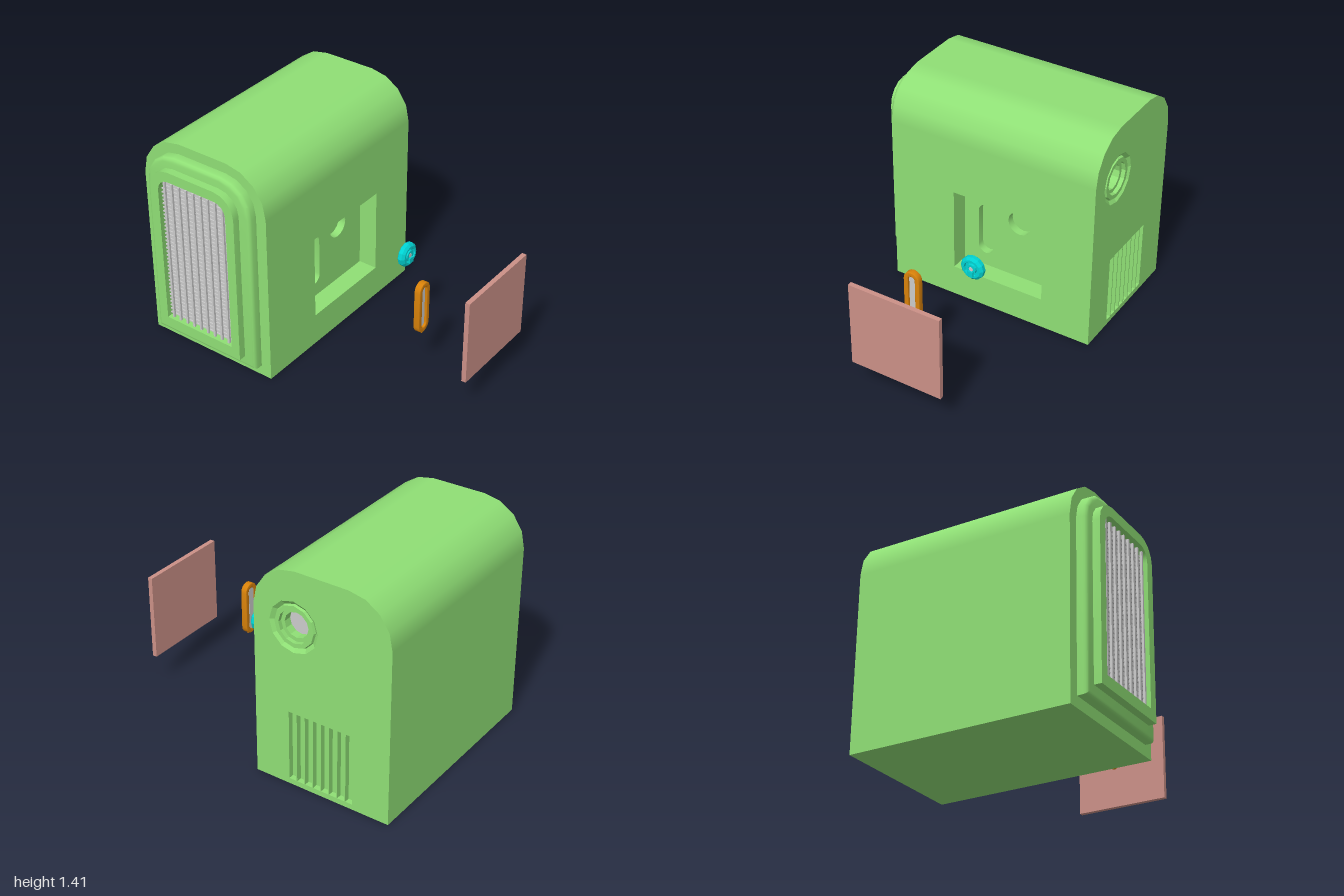
import * as THREE from 'three';
import { toCreasedNormals } from 'three/addons/utils/BufferGeometryUtils.js';

const mat = (color, extra = {}) => new THREE.MeshStandardMaterial({ color, ...extra });
const green = mat(0x8fdf75), greenFlat = mat(0x8fdf75, { flatShading: true, side: THREE.DoubleSide });
const grey = mat(0xcccccc), pink = mat(0xcb9087), orange = mat(0xd9820a);
const cyan = mat(0x00d2d2, { flatShading: true, side: THREE.DoubleSide });

const mesh = (name, geo, m) => Object.assign(new THREE.Mesh(geo, m), { name });
const v2 = (x, y) => new THREE.Vector2(x, y);

// Outlines, all counter-clockwise
const rect = (x0, y0, x1, y1) => [v2(x0, y0), v2(x1, y0), v2(x1, y1), v2(x0, y1)];
function arc(cx, cy, r, from, to, n) {
  return Array.from({ length: n + 1 }, (_, i) => {
    const a = from + (to - from) * i / n;
    return v2(cx + r * Math.cos(a), cy + r * Math.sin(a));
  });
}
const circle = (cx, cy, r, n = 12) => arc(cx, cy, r, 0, Math.PI * 2, n).slice(0, n);
const archTop = (x0, x1, y1, r) => [
  ...arc(x1 - r, y1 - r, r, 0, Math.PI / 2, 4),
  ...arc(x0 + r, y1 - r, r, Math.PI / 2, Math.PI, 4)];
const arch = (x0, x1, y0, y1, r) => [v2(x0, y0), v2(x1, y0), ...archTop(x0, x1, y1, r)];
const capsule = (x0, x1, y0, y1, r = (x1 - x0) / 2) => [
  ...arc((x0 + x1) / 2, y1 - r, r, 0, Math.PI, 8),
  ...arc((x0 + x1) / 2, y0 + r, r, Math.PI, Math.PI * 2, 8)];

function geometryFrom(positions, normals) {
  const g = new THREE.BufferGeometry();
  g.setAttribute('position', new THREE.Float32BufferAttribute(positions, 3));
  if (normals) g.setAttribute('normal', new THREE.Float32BufferAttribute(normals, 3));
  else g.computeVertexNormals();
  return g;
}

// Inward-facing side walls of a recess
function recessWalls(pts, depth) {
  const p = [];
  pts.forEach((a, i) => {
    const b = pts[(i + 1) % pts.length];
    p.push(b.x, b.y, -depth, a.x, a.y, -depth, a.x, a.y, 0);
    p.push(b.x, b.y, -depth, a.x, a.y, 0, b.x, b.y, 0);
  });
  return toCreasedNormals(geometryFrom(p), 0.6);
}

// Flat face with recesses, which may hold recesses of their own
function face(name, pts, holes = []) {
  const g = new THREE.Group();
  g.name = name;
  const shape = new THREE.Shape(pts);
  shape.holes = holes.map(h => new THREE.Path(h.pts));
  g.add(mesh(name + 'Surface', new THREE.ShapeGeometry(shape), green));
  for (const h of holes) {
    if (!h.depth) continue;
    g.add(mesh(h.name + 'Walls', recessWalls(h.pts, h.depth), green));
    const floor = face(h.name + 'Floor', h.pts, h.holes);
    floor.position.z = -h.depth;
    g.add(floor);
  }
  return g;
}

function extrude(name, pts, holes, depth, m, bevel = 0) {
  const shape = new THREE.Shape(pts);
  shape.holes = holes.map(h => new THREE.Path(h));
  const geo = new THREE.ExtrudeGeometry(shape, {
    depth: depth - 2 * bevel, bevelEnabled: bevel > 0, bevelThickness: bevel,
    bevelSize: bevel, bevelOffset: -bevel, bevelSegments: 3 });
  geo.translate(0, 0, bevel);
  return mesh(name, toCreasedNormals(geo, 0.6), m);
}

function lathe(name, profile, sides, m) {
  const geo = new THREE.LatheGeometry(profile.map(([r, h]) => v2(r, h)), sides);
  return mesh(name, geo.rotateX(Math.PI / 2), m);
}

const X0 = -0.65, X1 = 0.755, ZB = -1, ZF = -0.09, H = 1.41, R = 0.28;

// Curved roof and back wall with smooth normals
function roofAndBack() {
  const p = [], n = [];
  const strip = archTop(ZB, ZF, H, R).map((q, i) => {
    const a = (i < 5 ? i : i - 1) * Math.PI / 8;
    return { z: q.x, y: q.y, nz: Math.cos(a), ny: Math.sin(a) };
  });
  strip.push({ z: ZB, y: 0, nz: -1, ny: 0 });
  for (let i = 0; i + 1 < strip.length; i++) {
    const a = strip[i], b = strip[i + 1];
    for (const [x, s] of [[X0, a], [X1, a], [X1, b], [X0, a], [X1, b], [X0, b]]) {
      p.push(x, s.y, s.z);
      n.push(0, s.ny, s.nz);
    }
  }
  return mesh('roofAndBack', geometryFrom(p, n), green);
}

export function createModel() {
  const model = new THREE.Group();
  model.name = 'machine';
  model.add(roofAndBack());

  // Underside
  const base = mesh('underside', new THREE.PlaneGeometry(X1 - X0, ZF - ZB).rotateX(Math.PI / 2), green);
  base.position.set((X0 + X1) / 2, 0, (ZF + ZB) / 2);
  model.add(base);

  // Front wall: window recess with a slot and a round socket
  const front = face('frontWall', rect(X0, 0, X1, H - R), [{
    name: 'window', pts: rect(-0.21, 0.21, 0.42, 0.77), depth: 0.125,
    holes: [
      { name: 'slot', pts: capsule(-0.108, -0.002, 0.3, 0.66), depth: 0.05 },
      { name: 'socket', pts: circle(0.185, 0.61, 0.08, 16), depth: 0.05 }]
  }]);
  front.position.z = ZF;
  model.add(front);

  // Left end: vent slots and round port (local x runs along -z)
  const vents = Array.from({ length: 8 }, (_, i) => {
    const x = 0.322 + i * 0.0556;
    return { name: 'vent', pts: rect(x, 0.035, x + 0.048, 0.495), depth: 0.035 };
  });
  const end = face('ventEnd', arch(-ZF, -ZB, 0, H, R), [...vents, { name: 'port', pts: circle(0.36, 1.06, 0.163) }]);
  const port = lathe('portRings', [[0.163, 0], [0.138, -0.02], [0.132, -0.005], [0.105, -0.005],
    [0.105, -0.03], [0.08, -0.03], [0.08, -0.1]], 12, greenFlat);
  const lens = mesh('portLens', new THREE.CircleGeometry(0.08, 12), grey);
  lens.position.z = -0.08;
  port.add(lens);
  port.position.set(0.36, 1.06, 0);
  end.add(port);
  end.rotation.y = Math.PI / 2;
  end.position.x = X1;
  model.add(end);

  // Right end: two stepped frames around a grille (local x runs along +z)
  const grilleEnd = face('grilleEnd', arch(ZB, ZF, 0, H, R));
  const step = extrude('outerFrame', arch(-0.93, -0.16, 0.07, 1.345, 0.21), [], 0.11, green, 0.025);
  step.position.z = -0.048;
  const opening = arch(-0.8, -0.295, 0.215, 1.21, 0.08);
  const frame = extrude('innerFrame', arch(-0.86, -0.235, 0.145, 1.275, 0.14), [opening], 0.05, green);
  frame.position.z = 0.06;
  const backing = mesh('grilleBacking', new THREE.ShapeGeometry(new THREE.Shape(opening)), grey);
  backing.position.z = 0.064;
  grilleEnd.add(step, frame, backing);
  for (let i = 0; i < 9; i++) {
    const bar = mesh('grilleBar', new THREE.BoxGeometry(0.014, 0.97, 0.014), grey);
    bar.position.set(-0.765 + i * 0.0544, 0.705, 0.09);
    grilleEnd.add(bar);
  }
  for (let i = 0; i < 36; i++) {
    const rod = mesh('grilleRod', new THREE.BoxGeometry(0.5, 0.008, 0.008), grey);
    rod.position.set(-0.5475, 0.24 + i * 0.0262, 0.08);
    if (i > 34) rod.scale.x = 0.85;
    grilleEnd.add(rod);
  }
  grilleEnd.rotation.y = -Math.PI / 2;
  grilleEnd.position.x = X0;
  model.add(grilleEnd);

  // Detached cover panel
  const cover = mesh('coverPanel', new THREE.BoxGeometry(0.61, 0.56, 0.03), pink);
  cover.position.set(0.097, 0.49, 0.985);
  model.add(cover);

  // Detached slot insert
  const insert = new THREE.Group();
  insert.name = 'slotInsert';
  const gauge = extrude('insertPlate', capsule(-0.08, -0.033, 0.34, 0.63), [], 0.025, grey);
  const nub = mesh('insertNub', new THREE.BoxGeometry(0.022, 0.03, 0.014), orange);
  nub.position.set(-0.057, 0.315, 0.026);
  insert.add(extrude('insertFrame', capsule(-0.11, -0.004, 0.308, 0.66),
    [capsule(-0.08, -0.033, 0.34, 0.63)], 0.04, orange, 0.004), gauge, nub);
  insert.position.z = 0.562;
  model.add(insert);

  // Detached dial
  const dial = new THREE.Group();
  dial.name = 'dial';
  dial.add(lathe('dialBody', [[0, 0], [0.072, 0], [0.078, 0.006], [0.078, 0.03], [0.062, 0.044],
    [0.05, 0.044], [0.046, 0.03], [0.034, 0.03], [0.032, 0.044], [0.016, 0.044], [0.016, 0.034], [0, 0.034]], 12, cyan));
  const hub = mesh('dialHub', new THREE.CylinderGeometry(0.014, 0.014, 0.012, 12).rotateX(Math.PI / 2), grey);
  hub.position.z = 0.038;
  const pointer = mesh('dialPointer', new THREE.BoxGeometry(0.036, 0.036, 0.014), cyan);
  pointer.position.set(0, -0.03, 0.047);
  dial.add(hub, pointer);
  dial.position.set(0.182, 0.612, 0.29);
  model.add(dial);

  return model;
}
